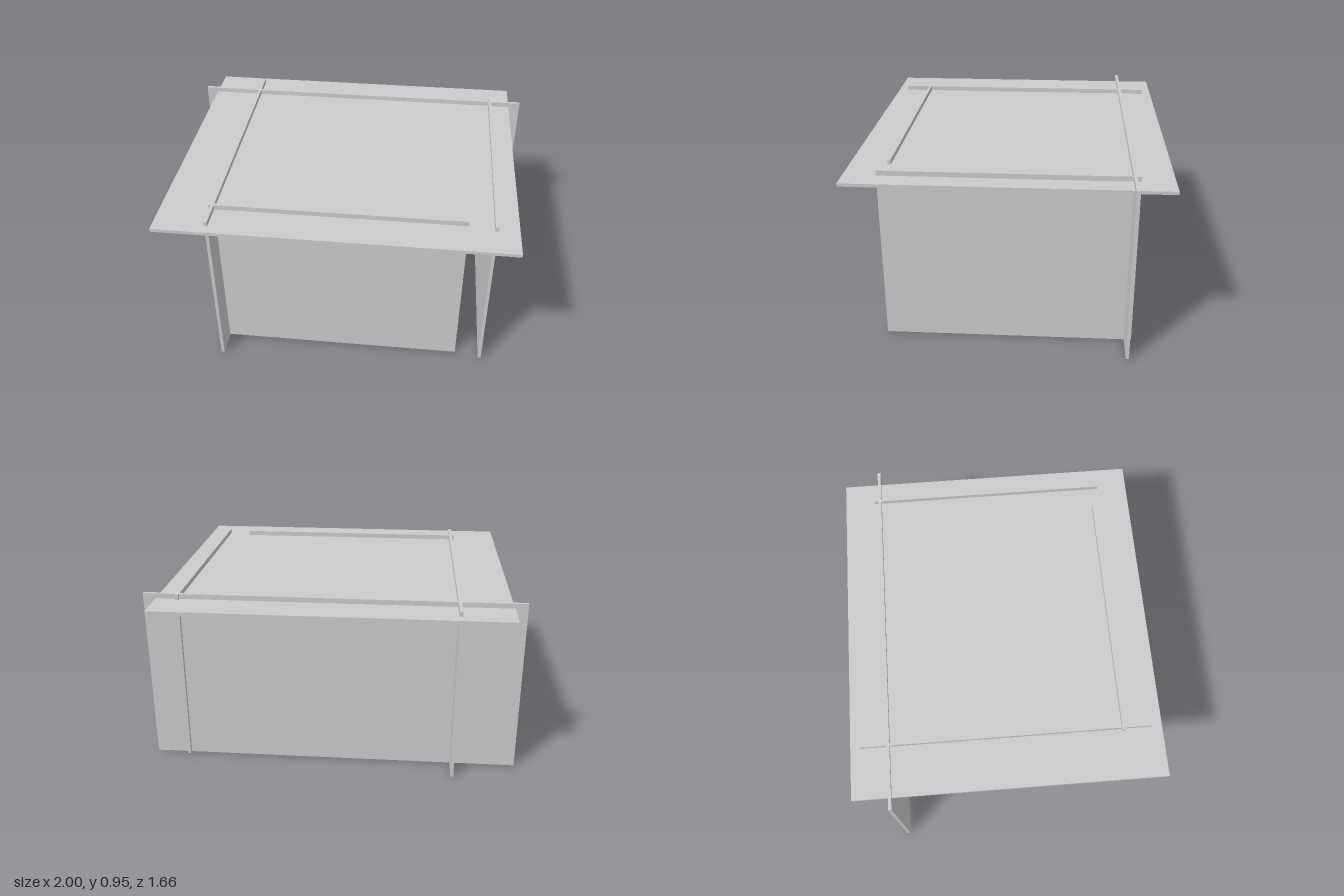
import * as THREE from 'three';

const THICK = 0.017;
const HEIGHT = 0.95;

export function createModel() {
  const group = new THREE.Group();
  const material = new THREE.MeshStandardMaterial({ color: 0xcccccc });

  const panel = (name, size, position) => {
    const mesh = new THREE.Mesh(new THREE.BoxGeometry(...size), material);
    mesh.name = name;
    mesh.position.set(...position);
    group.add(mesh);
  };

  // Upright walls, interlocking like slotted boards and open underneath
  const mid = HEIGHT / 2;
  panel('backWall', [2, HEIGHT, THICK], [0, mid, -0.629]);
  panel('frontWall', [1.352, HEIGHT, THICK], [0, mid, 0.623]);
  panel('wallAtMinusX', [THICK, HEIGHT, 1.552], [-0.655, mid, 0]);
  panel('wallAtPlusX', [THICK, HEIGHT, 1.32], [0.815, mid, 0]);

  // Table top, with the wall edges rising slightly through it
  panel('tableTop', [1.866, THICK, 1.66], [0, 0.915, 0]);

  return group;
}
